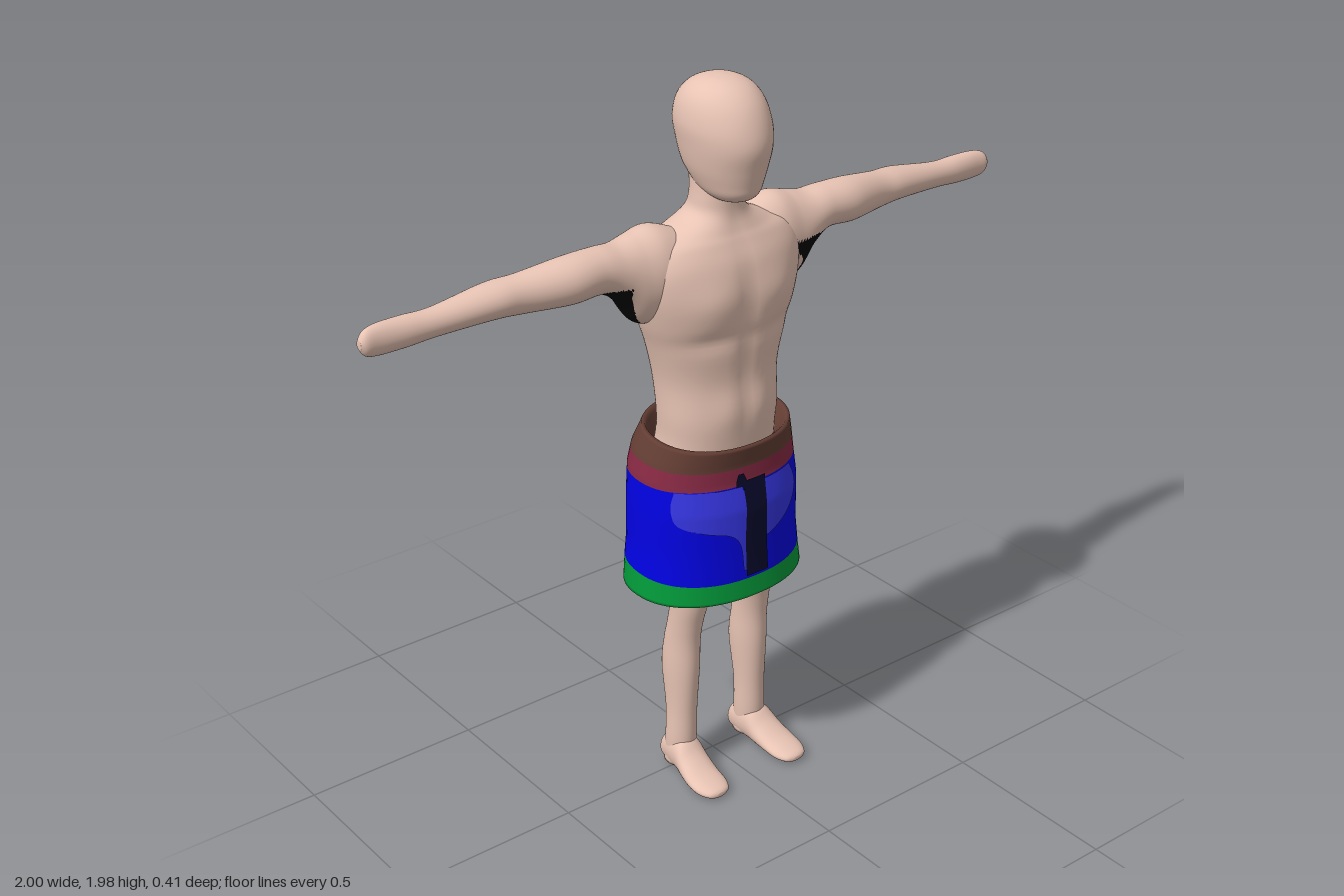
import * as THREE from 'three';

const mat = (name, color, side = THREE.FrontSide) => {
  const m = new THREE.MeshStandardMaterial({ color, side });
  m.name = name;
  return m;
};

// Smooth (Catmull-Rom) resampling of rows of numbers
function smooth(rows, steps) {
  const out = [];
  const at = i => rows[Math.max(0, Math.min(rows.length - 1, i))];
  for (let i = 0; i < rows.length - 1; i++) {
    for (let k = 0; k < steps; k++) {
      const t = k / steps;
      out.push(at(i).map((p1, c) => {
        const p0 = at(i - 1)[c], p2 = at(i + 1)[c], p3 = at(i + 2)[c];
        return p1 + 0.5 * t * (p2 - p0 + t * (2 * p0 - 5 * p1 + 4 * p2 - p3 + t * (3 * (p1 - p2) + p3 - p0)));
      }));
    }
  }
  out.push(rows[rows.length - 1]);
  return out;
}

// Skin rounded cross-sections [s, u, v, ru, rv] along an axis; (u, v, axis) is right-handed
function loft(rows, axis, { n = 40, power = 2, closed = true, warp, pick } = {}) {
  const pos = [], tris = [];
  const put = (s, u, v) => {
    const p = axis === 'x' ? new THREE.Vector3(s, u, v)
      : axis === 'y' ? new THREE.Vector3(v, s, u) : new THREE.Vector3(u, v, s);
    if (warp) warp(p);
    pos.push(p.x, p.y, p.z);
  };
  const bend = c => Math.sign(c) * Math.abs(c) ** (2 / power);
  for (const [s, u, v, ru, rv] of rows) {
    for (let j = 0; j < n; j++) {
      const a = j / n * Math.PI * 2;
      put(s, u + ru * bend(Math.cos(a)), v + rv * bend(Math.sin(a)));
    }
  }
  for (let i = 0; i < rows.length - 1; i++) {
    for (let j = 0; j < n; j++) {
      const a = i * n + j, b = i * n + (j + 1) % n;
      tris.push([a, b, b + n], [a, b + n, a + n]);
    }
  }
  if (closed) {
    const last = rows.length - 1, c = rows.length * n;
    for (const r of [rows[0], rows[last]]) put(r[0], r[1], r[2]);
    for (let j = 0; j < n; j++) {
      const k = (j + 1) % n;
      tris.push([c, k, j], [c + 1, last * n + j, last * n + k]);
    }
  }
  const g = new THREE.BufferGeometry();
  g.setAttribute('position', new THREE.Float32BufferAttribute(pos, 3));
  if (pick) {
    const sets = [[], []];
    for (const t of tris) {
      const mid = [0, 1, 2].map(c => (pos[t[0] * 3 + c] + pos[t[1] * 3 + c] + pos[t[2] * 3 + c]) / 3);
      sets[pick(...mid) ? 1 : 0].push(...t);
    }
    g.setIndex(sets.flat());
    g.addGroup(0, sets[0].length, 0);
    g.addGroup(sets[0].length, sets[1].length, 1);
  } else g.setIndex(tris.flat());
  g.computeVertexNormals();
  return g;
}

// Upright section from back z, front z, half width and centre x
const sec = ([y, back, front, rx, cx = 0]) => [y, (back + front) / 2, cx, (front - back) / 2, rx];

const bump = (x, y, x0, y0, w, h) => Math.exp(-(((x - x0) / w) ** 2) - ((y - y0) / h) ** 2);

// Soft muscle relief on chest, belly and back
function muscles(p) {
  const x = Math.abs(p.x);
  if (p.z > 0.03) {
    p.z += 0.012 * bump(x, p.y, 0.1, 1.43, 0.07, 0.06) - 0.009 * bump(x, p.y, 0, 1.35, 0.022, 0.22)
      - 0.008 * bump(x, p.y, 0.1, 1.33, 0.08, 0.025) + 0.006 * bump(x, p.y, 0.05, 1.13, 0.04, 0.05);
  } else if (p.z < -0.03) {
    p.z += 0.014 * bump(x, p.y, 0, 1.3, 0.025, 0.25) - 0.008 * bump(x, p.y, 0.1, 1.45, 0.06, 0.08);
  }
}

// Shorts profile: y, back z, front z, half width, centre x
const shortsRows = [
  [0.59, -0.204, 0.184, 0.255, 0.006], [0.655, -0.203, 0.179, 0.248, 0.006], [0.72, -0.201, 0.175, 0.241, 0.006],
  [0.85, -0.2, 0.172, 0.241, 0.008], [0.93, -0.196, 0.157, 0.236, 0.009], [0.98, -0.186, 0.155, 0.227, 0.01],
  [1.04, -0.16, 0.163, 0.206, 0.01],
];
function shortsAt(y, inset = 0) {
  let i = 0;
  while (i < shortsRows.length - 2 && y > shortsRows[i + 1][0]) i++;
  const a = shortsRows[i], b = shortsRows[i + 1], t = (y - a[0]) / (b[0] - a[0]);
  const [, back, front, rx, cx] = a.map((v, c) => v + (b[c] - v) * t);
  return sec([y, back + inset, front - inset, rx - inset, cx]);
}
// Waistband and hem seam sit higher at the back
const tilt = p => {
  if (p.y > 0.88) p.y -= p.z * 0.6 * (p.y - 0.88);
  else p.y -= p.z * 0.055 * Math.max(0, 1 - Math.abs(p.y - 0.655) / 0.065);
};

// Cloth patch hugging the front of the shorts; rows of [y, xLeft, xRight]
function patch(rows, lift) {
  const fine = smooth(rows, 5), nx = 16, pos = [], idx = [];
  fine.forEach(([y, x0, x1], i) => {
    const [, cz, cx, rz, rx] = shortsAt(y);
    for (let j = 0; j <= nx; j++) {
      const x = x0 + (x1 - x0) * j / nx;
      const p = new THREE.Vector3(x, y, cz + rz * (1 - Math.abs((x - cx) / rx) ** 2.2) ** (1 / 2.2) + lift);
      tilt(p);
      pos.push(p.x, p.y, p.z);
      if (i && j) {
        const d = i * (nx + 1) + j, b = d - nx - 1;
        idx.push(b - 1, b, d, b - 1, d, d - 1);
      }
    }
  });
  const g = new THREE.BufferGeometry();
  g.setAttribute('position', new THREE.Float32BufferAttribute(pos, 3));
  g.setIndex(idx);
  g.computeVertexNormals();
  return g;
}

export function createModel() {
  const D = THREE.DoubleSide;
  const skin = mat('skin', 0xe8c4b4), dark = mat('armpit black', 0x040404);
  const blue = mat('shorts blue', 0x0202e2, D), pale = mat('panel blue', 0x3636e4, D);
  const navy = mat('stripe navy', 0x08082c, D), green = mat('hem green', 0x029a3a, D);
  const brown = mat('waistband brown', 0x643e34, D), crimson = mat('band crimson', 0x882a44, D);
  const model = new THREE.Group();
  const add = (name, geo, material) => {
    const m = new THREE.Mesh(geo, material);
    m.name = name;
    model.add(m);
  };

  // Torso and neck
  add('torso', loft(smooth([
    [0.78, -0.12, 0.11, 0.15], [0.9, -0.145, 0.125, 0.178], [1.02, -0.12, 0.14, 0.167], [1.1, -0.11, 0.145, 0.17],
    [1.2, -0.12, 0.137, 0.176], [1.3, -0.125, 0.145, 0.2], [1.37, -0.128, 0.15, 0.224], [1.45, -0.122, 0.15, 0.243],
    [1.52, -0.113, 0.138, 0.243], [1.57, -0.1, 0.115, 0.215], [1.598, -0.085, 0.1, 0.15], [1.635, -0.066, 0.088, 0.082],
    [1.68, -0.052, 0.086, 0.068], [1.75, -0.06, 0.09, 0.065],
  ].map(sec), 5), 'y', { n: 64, power: 2.15, warp: muscles }), skin);

  // Head
  add('head', loft(smooth([
    [1.674, 0.06, 0.105, 0.025], [1.683, 0.02, 0.13, 0.05], [1.7, -0.025, 0.147, 0.069], [1.725, -0.057, 0.155, 0.082],
    [1.765, -0.087, 0.166, 0.096], [1.82, -0.105, 0.179, 0.106], [1.87, -0.112, 0.171, 0.11], [1.92, -0.098, 0.148, 0.1],
    [1.955, -0.066, 0.115, 0.077], [1.974, -0.025, 0.075, 0.044], [1.98, 0.015, 0.035, 0.008],
  ].map(r => sec([...r, 0.006])), 5), 'y', { n: 48 }), skin);

  // Arms, with dark armpits: x, centre y, centre z, half height, half depth
  const arm = smooth([
    [0.05, 1.49, 0, 0.08, 0.07], [0.12, 1.492, -0.005, 0.112, 0.085], [0.19, 1.5, -0.01, 0.127, 0.093],
    [0.25, 1.5, -0.01, 0.116, 0.085], [0.3, 1.528, -0.005, 0.078, 0.072], [0.36, 1.55, 0, 0.06, 0.062],
    [0.45, 1.548, 0, 0.06, 0.062], [0.57, 1.54, -0.02, 0.05, 0.05], [0.65, 1.538, -0.03, 0.045, 0.052],
    [0.8, 1.525, -0.035, 0.036, 0.036], [0.88, 1.521, -0.04, 0.039, 0.034], [0.95, 1.52, -0.04, 0.039, 0.027],
    [0.985, 1.52, -0.036, 0.031, 0.02], [1, 1.52, -0.035, 0.012, 0.01],
  ], 10);
  const armpit = (x, y, z) => Math.abs(x) > 0.2 && Math.abs(x) < 0.37 && y < 1.505
    && Math.abs(z - 0.012 * Math.sign(x)) < 0.026 + (y - 1.37) * 0.38;
  add('leftArm', loft(arm, 'x', { n: 72, pick: armpit }), [skin, dark]);
  add('rightArm', loft(arm.map(([s, ...r]) => [-s, ...r]).reverse(), 'x', { n: 72, pick: armpit }), [skin, dark]);

  // Legs and feet
  for (const [side, k] of [['left', 1], ['right', -1]]) {
    add(side + 'Leg', loft(smooth([
      [0.02, -0.042, 0.05, 0.04, 0.123], [0.1, -0.034, 0.058, 0.042, 0.122], [0.2, -0.035, 0.06, 0.041, 0.12],
      [0.33, -0.052, 0.068, 0.047, 0.118], [0.42, -0.04, 0.07, 0.046, 0.117], [0.48, -0.025, 0.078, 0.047, 0.115],
      [0.55, -0.016, 0.092, 0.053, 0.11], [0.65, -0.03, 0.1, 0.063, 0.105], [0.86, -0.08, 0.11, 0.08, 0.09],
    ].map(([y, b, f, rx, cx]) => sec([y, b, f, rx, cx * k])), 6), 'y'), skin);
    add(side + 'Foot', loft(smooth([
      [-0.05, 0.121, 0.045, 0.012, 0.016], [-0.04, 0.121, 0.048, 0.034, 0.038], [0, 0.122, 0.057, 0.043, 0.054],
      [0.045, 0.126, 0.056, 0.046, 0.055], [0.085, 0.131, 0.039, 0.05, 0.038], [0.13, 0.136, 0.026, 0.052, 0.025],
      [0.17, 0.137, 0.02, 0.049, 0.019], [0.2, 0.137, 0.017, 0.034, 0.013], [0.21, 0.137, 0.016, 0.012, 0.006],
    ].map(([z, cx, ...r]) => [z, cx * k, ...r]), 5), 'z', { n: 32, power: 2.1 }), skin);
  }

  // Shorts bands, bottom to top; the hem turns inward and the waistband slopes in to the body
  const band = (name, y0, y1, material, lip) => {
    const rows = [];
    for (let i = 0; i <= 8; i++) rows.push(shortsAt(y0 + (y1 - y0) * i / 8));
    if (lip === 'low') rows.unshift(shortsAt(y1, 0.018), shortsAt(y0 + 0.004, 0.018), shortsAt(y0 - 0.002, 0.008));
    if (lip === 'high') rows.push(shortsAt(y1 + 0.002, 0.008), shortsAt(y1 - 0.01, 0.018), shortsAt(y0, 0.06));
    add(name, loft(rows, 'y', { n: 64, power: 2.2, closed: false, warp: tilt }), material);
  };
  band('greenHem', 0.59, 0.655, green, 'low');
  band('shortsBody', 0.655, 0.92, blue);
  band('crimsonBand', 0.92, 0.974, crimson);
  band('waistband', 0.974, 1.04, brown, 'high');

  // Front stripe with its small tab, and the lighter panels
  add('frontStripe', patch([[0.665, -0.03, 0.042], [0.78, -0.03, 0.04], [0.87, -0.026, 0.042], [0.935, -0.03, 0.045]],
    0.006), navy);
  add('stripeTab', patch([[0.92, -0.05, -0.01], [0.94, -0.048, -0.018], [0.96, -0.042, -0.026]], 0.007), navy);
  add('rightPanel', patch([[0.68, -0.037, -0.026], [0.75, -0.045, -0.026], [0.785, -0.075, -0.025], [0.803, -0.14, -0.022],
    [0.825, -0.195, -0.02], [0.87, -0.205, -0.02], [0.92, -0.195, -0.03]], 0.004), pale);
  add('leftPanel', patch([[0.755, 0.038, 0.05], [0.775, 0.038, 0.1], [0.8, 0.038, 0.14], [0.83, 0.04, 0.165],
    [0.87, 0.04, 0.17], [0.92, 0.04, 0.15]], 0.004), pale);
  return model;
}
